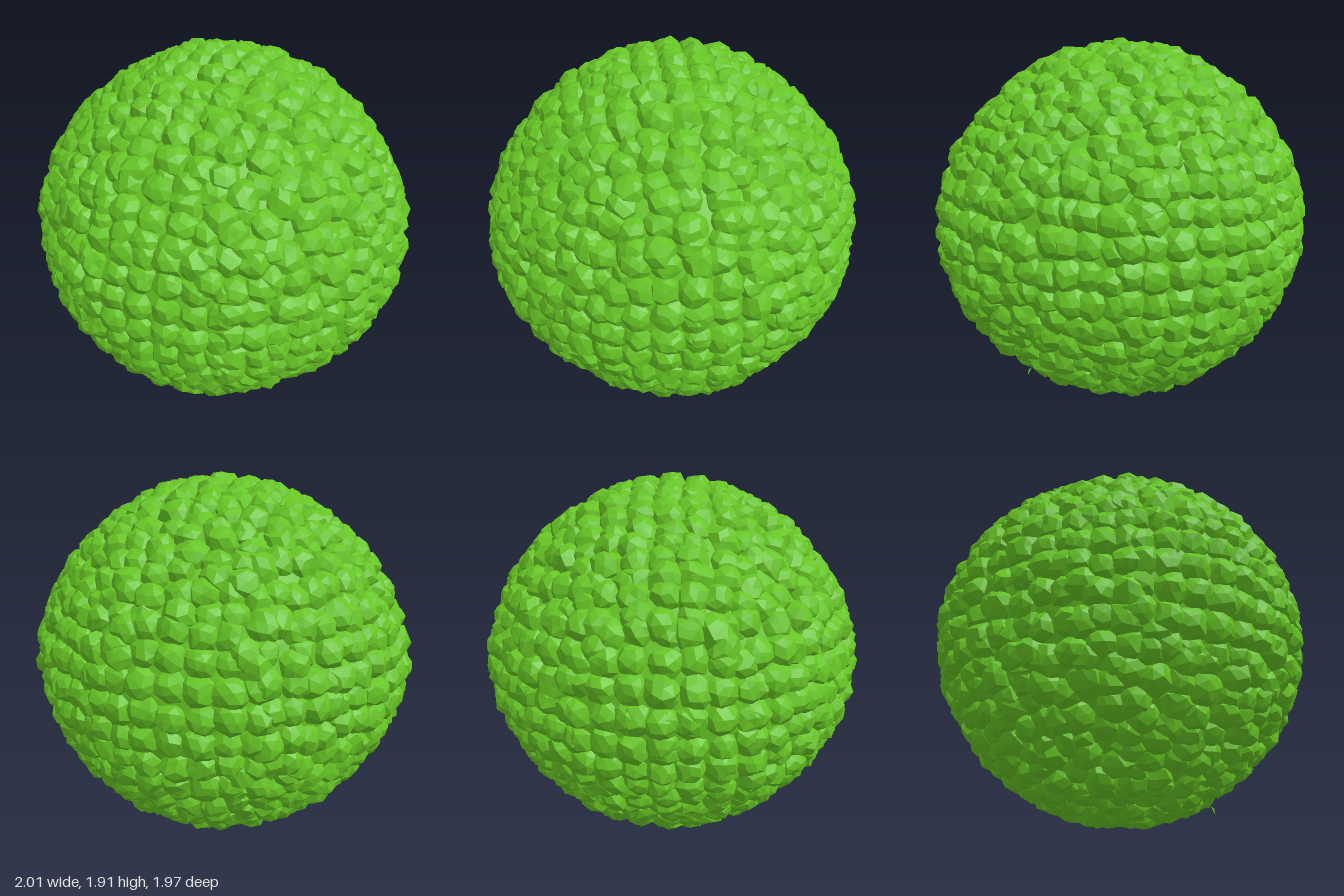
import * as THREE from 'three';
import { mergeGeometries } from 'three/addons/utils/BufferGeometryUtils.js';

// Small seeded generator for natural variation
function seeded(seed) {
  return () => {
    seed = (seed * 1664525 + 1013904223) % 4294967296;
    return seed / 4294967296;
  };
}

const SHELL = new THREE.Vector3(0.918, 0.872, 0.906); // semi-axes on which the clumps sit
const STEP = 0.125;

// How far a direction lies from the three main axes: 0 on an axis, 0.67 at a corner
const diagonal = (d) => 1 - d.x ** 4 - d.y ** 4 - d.z ** 4;

// Moves a point onto the shell, which is slightly drawn in between the axes
function toShell(p, lift) {
  p.divide(SHELL).normalize();
  return p.multiplyScalar(lift * (1 - 0.045 * diagonal(p))).multiply(SHELL);
}

// Applies a rule to every vertex of a geometry
function moveVertices(geometry, rule) {
  const pos = geometry.attributes.position;
  const v = new THREE.Vector3();
  for (let i = 0; i < pos.count; i++) {
    rule(v.fromBufferAttribute(pos, i));
    pos.setXYZ(i, v.x, v.y, v.z);
  }
  return geometry;
}

// A rough, faceted leaf clump
function makeClump(radius, rand) {
  const phase = rand() * 6.28;
  const clump = moveVertices(new THREE.IcosahedronGeometry(1, 1), (v) => {
    const rough = Math.sin(v.x * 9 + phase) * Math.sin(v.y * 11 + phase * 2) + Math.sin(v.z * 10 - phase);
    v.multiplyScalar(radius * (0.97 + 0.07 * rough));
  });
  return clump.rotateX(rand() * 6.28).rotateY(rand() * 6.28);
}

export function createModel() {
  const group = new THREE.Group();
  group.name = 'roundBush';
  const rand = seeded(7);
  const leafGreen = new THREE.MeshStandardMaterial({ color: 0x66c424, flatShading: true, side: THREE.DoubleSide });
  leafGreen.name = 'leafGreen';

  // Foliage clumps: grid points near the shell, looser away from the axes
  const parts = [];
  const n = Math.ceil(1 / STEP);
  for (let i = -n; i <= n; i++) for (let j = -n; j <= n; j++) for (let k = -n; k <= n; k++) {
    const p = new THREE.Vector3(i, j, k).multiplyScalar(STEP);
    if (Math.abs(p.clone().divide(SHELL).length() - 1) > 0.1) continue;
    const loose = 0.015 + 0.08 * diagonal(p.clone().normalize());
    p.x += (rand() - 0.5) * loose;
    p.y += (rand() - 0.5) * loose;
    p.z += (rand() - 0.5) * loose;
    toShell(p, 0.985 + 0.02 * rand());
    parts.push(makeClump(0.08 + 0.012 * rand(), rand).translate(p.x, p.y, p.z));
  }

  // Solid core closing the gaps between the clumps
  parts.push(moveVertices(new THREE.IcosahedronGeometry(1, 14), (v) => toShell(v, 1.03)));

  const foliageGeometry = mergeGeometries(parts);
  foliageGeometry.computeVertexNormals();
  const foliage = new THREE.Mesh(foliageGeometry, leafGreen);
  foliage.name = 'foliage';
  foliage.position.y = 0.95;
  group.add(foliage);

  // One tiny loose leaf beside the lower edge
  const leafShape = new THREE.Shape([
    new THREE.Vector2(0.545, 0.155), new THREE.Vector2(0.57, 0.11), new THREE.Vector2(0.565, 0.145)
  ]);
  const looseLeaf = new THREE.Mesh(new THREE.ShapeGeometry(leafShape), leafGreen);
  looseLeaf.name = 'looseLeaf';
  group.add(looseLeaf);

  return group;
}
